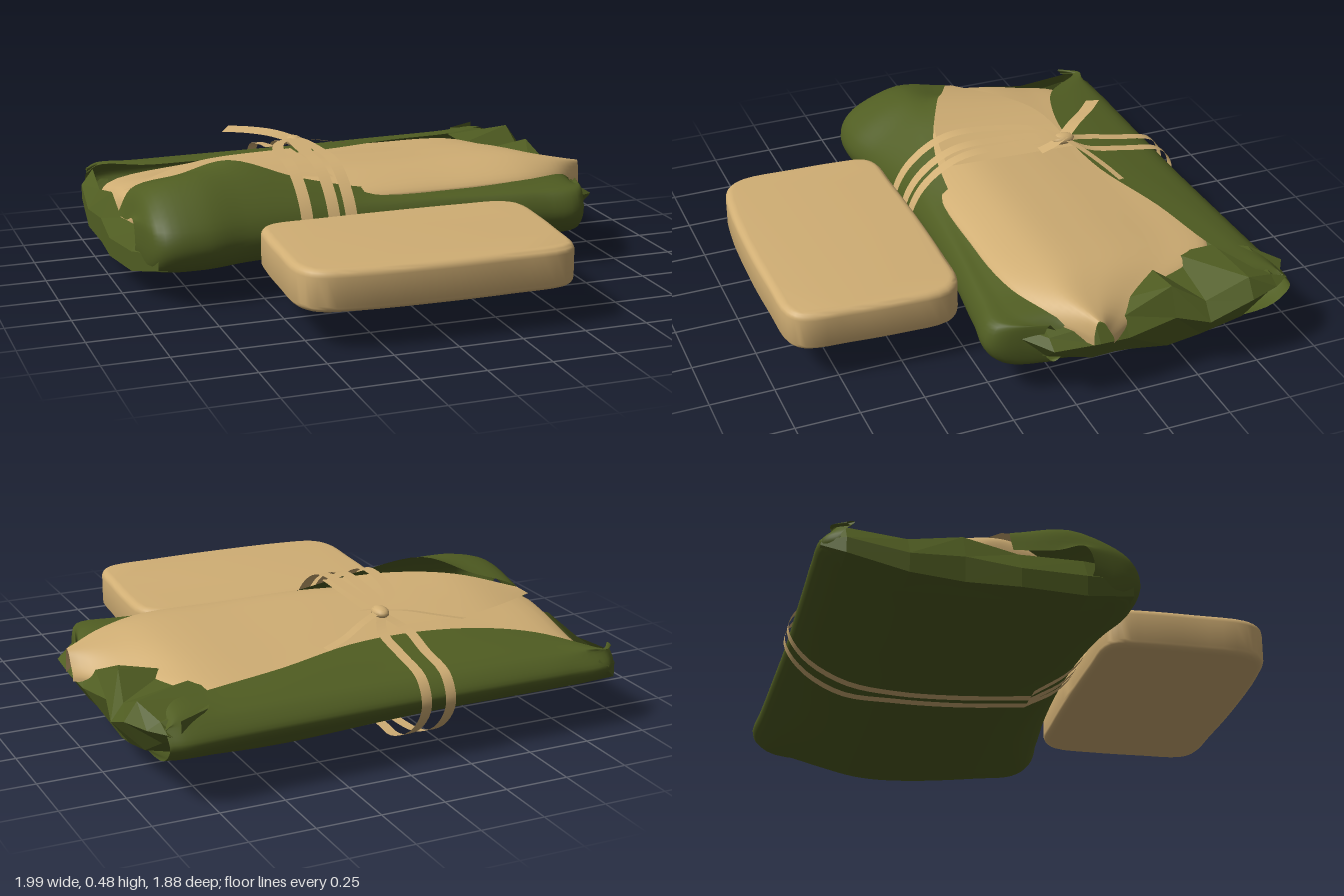
import * as THREE from 'three';
import { toCreasedNormals } from 'three/addons/utils/BufferGeometryUtils.js';

const leafGreen = new THREE.MeshStandardMaterial({ color: 0x505d22, side: THREE.DoubleSide });
leafGreen.name = 'leafGreen';
const breadTan = new THREE.MeshStandardMaterial({ color: 0xd0ae74, side: THREE.DoubleSide });
breadTan.name = 'breadTan';

const V = (p) => new THREE.Vector3(...p);
const spline = (pts) => new THREE.CatmullRomCurve3(pts, false, 'centripetal');

// Smooth or faceted sheet through rows of [x, y, z] points
function sheet(rows, nu, nv, smooth = true) {
  const sample = (pts, t) => {
    if (smooth && pts.length > 2) return spline(pts).getPoint(t);
    const f = t * (pts.length - 1), i = Math.min(Math.floor(f), pts.length - 2);
    return pts[i].clone().lerp(pts[i + 1], f - i);
  };
  const lines = rows.map((r) => r.map(V));
  const pos = [], index = [];
  for (let j = 0; j <= nv; j++) {
    const cross = lines.map((l) => sample(l, j / nv));
    for (let i = 0; i <= nu; i++) pos.push(...sample(cross, i / nu).toArray());
  }
  for (let j = 0; j < nv; j++) {
    for (let i = 0; i < nu; i++) {
      const a = j * (nu + 1) + i, b = a + nu + 1;
      index.push(a, b, a + 1, b, b + 1, a + 1);
    }
  }
  let g = new THREE.BufferGeometry();
  g.setAttribute('position', new THREE.Float32BufferAttribute(pos, 3));
  g.setIndex(index);
  if (!smooth) g = g.toNonIndexed();
  g.computeVertexNormals();
  return g;
}

// Flat ribbon along a curve, widened along a given direction
function ribbon(points, width, dir = [1, 0, 0]) {
  const d = V(dir).normalize().multiplyScalar(width / 2);
  const shift = (s) => points.map((p) => V(p).addScaledVector(d, s).toArray());
  return sheet([shift(-1), shift(1)], 1, 40);
}

export function createModel() {
  const group = new THREE.Group();
  const add = (name, geometry, material) => {
    const m = new THREE.Mesh(geometry, material);
    m.name = name;
    group.add(m);
    return m;
  };

  // Leaf wrapper: x, front edge z y, crest z y, front z, bottom y, back z, back edge z y
  const stations = [
    [-0.96, -0.22, 0.26, -0.06, 0.28, 0.08, 0.1, -0.84, -0.8, 0.28],
    [-0.9, -0.22, 0.36, 0.02, 0.4, 0.26, 0.08, -0.9, -0.84, 0.3],
    [-0.73, -0.14, 0.42, 0.04, 0.45, 0.29, 0.065, -0.91, -0.66, 0.33],
    [-0.55, -0.05, 0.485, 0.07, 0.44, 0.25, 0.06, -0.91, -0.58, 0.35],
    [-0.3, 0.06, 0.42, 0.11, 0.39, 0.22, 0.06, -0.91, -0.53, 0.36],
    [0, 0.1, 0.36, 0.13, 0.345, 0.215, 0.03, -0.91, -0.54, 0.36],
    [0.35, 0.13, 0.34, 0.16, 0.325, 0.235, 0.01, -0.92, -0.64, 0.35],
    [0.65, 0.13, 0.34, 0.18, 0.325, 0.27, 0.025, -0.93, -0.7, 0.34],
    [0.83, 0.06, 0.33, 0.16, 0.32, 0.28, 0.06, -0.94, -0.76, 0.34],
    [0.9, 0.0, 0.3, 0.04, 0.28, 0.1, 0.13, -0.93, -0.86, 0.28],
  ];
  add('leafWrapper', sheet(stations.map(([x, ez, ey, cz, cy, f, b, k, bz, by]) => [
    [x, ey, ez], [x, cy, cz], [x, 0.31, f - 0.03], [x, 0.22, f], [x, 0.145, f - 0.05],
    [x, b + 0.04, Math.min(0, f - 0.1)], [x, b, -0.4], [x, b + 0.02, -0.58],
    [x, 0.17, k + 0.07], [x, 0.24, k], [x, 0.3, k + 0.05],
    [x, (by + 0.31) / 2, (bz + k) / 2], [x, by, bz],
  ]), 48, 64), leafGreen);

  // Crumpled leaf flaps folded around both ends: z, bottom y, inner x, outer x, top y
  const rightEnd = [[0.2, 0.16, 0.82, 0.85, 0.3], [0.08, 0.13, 0.83, 0.97, 0.27],
    [-0.1, 0.1, 0.86, 0.98, 0.29], [-0.22, 0.08, 0.83, 0.97, 0.29], [-0.42, 0.06, 0.7, 0.95, 0.36],
    [-0.55, 0.07, 0.66, 0.98, 0.28], [-0.72, 0.13, 0.66, 0.99, 0.35], [-0.84, 0.18, 0.72, 0.95, 0.31],
    [-0.91, 0.23, 0.85, 0.9, 0.26]];
  add('rightEndFlap', sheet(rightEnd.map(([z, b, xi, xo, y], i) => [
    [0.79, b, z], [(0.8 + xo) / 2 + 0.02, b + 0.03 + (i % 2) * 0.02, z],
    [xo, (b + y) / 2 + 0.04, z], [xo - 0.05, y, z], [xi, z < -0.3 ? 0.33 : 0.3, z],
  ]), 8, 4, false), leafGreen);
  const leftEnd = [[0.24, 0.15, -0.91, 0.29], [0.05, 0.1, -0.97, 0.27], [-0.2, 0.09, -1, 0.25],
    [-0.4, 0.09, -0.99, 0.3], [-0.6, 0.1, -1, 0.26], [-0.82, 0.16, -0.98, 0.29], [-0.9, 0.22, -0.9, 0.27]];
  add('leftEndFlap', sheet(leftEnd.map(([z, b, x, y]) => [
    [-0.85, b, z], [x, b + 0.005, z], [x, (b + y) / 2, z], [x + 0.05, y, z],
  ]), 6, 3, false), leafGreen);

  // Wrapped loaf: x, front z, back z, top y
  const loaf = [[-0.95, -0.3, -0.58, 0.26], [-0.9, -0.12, -0.72, 0.33], [-0.55, 0.04, -0.75, 0.38],
    [-0.1, 0.13, -0.75, 0.4], [0.3, 0.14, -0.75, 0.4], [0.65, 0.13, -0.7, 0.4],
    [0.82, 0.07, -0.42, 0.375], [0.985, -0.07, -0.15, 0.34]];
  add('wrappedLoaf', sheet(loaf.map(([x, f, b, t]) => [
    [x, t - 0.1, f], [x, t - 0.06, f], [x, t, f + (b - f) * 0.18], [x, t - 0.01, f + (b - f) * 0.45],
    [x, t - 0.05, f + (b - f) * 0.75], [x, t - 0.09, b], [x, t - 0.11, b],
  ]), 40, 36), breadTan);

  // Folded sheet over the loaf's left half
  add('loafFold', sheet([
    [[-0.93, 0.34, -0.26], [-0.9, 0.36, -0.22]],
    [[-0.68, 0.37, -0.42], [-0.68, 0.41, -0.1]],
    [[-0.5, 0.38, -0.49], [-0.45, 0.42, 0.0]],
    [[-0.15, 0.39, -0.5], [-0.15, 0.41, 0.06]],
  ], 18, 4), breadTan);

  // Separate slab of bread in front, with softly rounded corners and rims
  const outline = [[-0.46, 0.282], [-0.3, 0.275], [0, 0.27], [0.3, 0.275], [0.46, 0.287], [0.51, 0.33],
    [0.515, 0.5], [0.5, 0.7], [0.48, 0.86], [0.44, 0.895], [0.25, 0.905], [0, 0.908], [-0.35, 0.89],
    [-0.48, 0.86], [-0.52, 0.8], [-0.52, 0.6], [-0.51, 0.4], [-0.495, 0.31]];
  const rim = new THREE.CatmullRomCurve3(outline.map(([x, z]) => V([x, 0, z])), true, 'centripetal');
  const shape = new THREE.Shape(rim.getPoints(72).slice(0, -1).map((p) => new THREE.Vector2(p.x, -p.z)));
  const slab = new THREE.ExtrudeGeometry(shape, {
    depth: 0.105, bevelThickness: 0.028, bevelSize: 0.03, bevelSegments: 5,
  });
  slab.rotateX(-Math.PI / 2);
  add('breadSlab', toCreasedNormals(slab, 0.7), breadTan).position.y = 0.176;

  // Tie strands, each running from the knot over the front
  for (const x of [-0.31, -0.2, -0.13]) {
    const near = (t) => x + (-0.15 - x) * t;
    add('frontTie', ribbon([
      [-0.15, 0.45, -0.44], [near(0.45), 0.455, -0.36], [near(0.1), 0.46, -0.2], [x, 0.46, -0.02],
      [x, 0.42, 0.09], [x, 0.33, 0.19], [x, 0.22, 0.23], [near(0.1), 0.125, 0.165], [near(0.4), 0.04, 0.03],
    ], 0.048), breadTan);
  }
  // Strands hanging loose underneath and rising over the back
  for (const [x0, x1] of [[-0.2, -0.2], [-0.13, -0.1]]) {
    add('backTie', ribbon([
      [x0, 0.04, 0.03], [x0, 0.012, -0.25], [x0, 0.005, -0.5], [x1, 0.03, -0.7], [x1, 0.12, -0.86],
      [x1, 0.23, -0.925], [x1, 0.32, -0.88], [x1, 0.36, -0.72], [x1 - 0.01, 0.39, -0.55], [-0.15, 0.43, -0.46],
    ], 0.042), breadTan);
  }

  // Knot and loose ends
  const knot = add('knot', new THREE.SphereGeometry(0.032, 14, 10), breadTan);
  knot.position.set(-0.15, 0.435, -0.45);
  knot.scale.set(1, 0.7, 1.5);
  add('looseEnd', ribbon([
    [-0.15, 0.44, -0.45], [-0.22, 0.455, -0.53], [-0.3, 0.455, -0.62], [-0.38, 0.45, -0.69],
  ], 0.06, [0.7, 0.25, -0.7]), breadTan);
  add('shortEnd', ribbon([
    [-0.15, 0.44, -0.45], [-0.05, 0.42, -0.5], [0.05, 0.39, -0.55], [0.14, 0.37, -0.58],
  ], 0.03, [0.4, 0.2, 1]), breadTan);
  add('hangingEnd', ribbon([
    [-0.15, 0.45, -0.46], [-0.13, 0.43, -0.4], [-0.13, 0.41, -0.34],
  ], 0.05), breadTan);

  return group;
}
